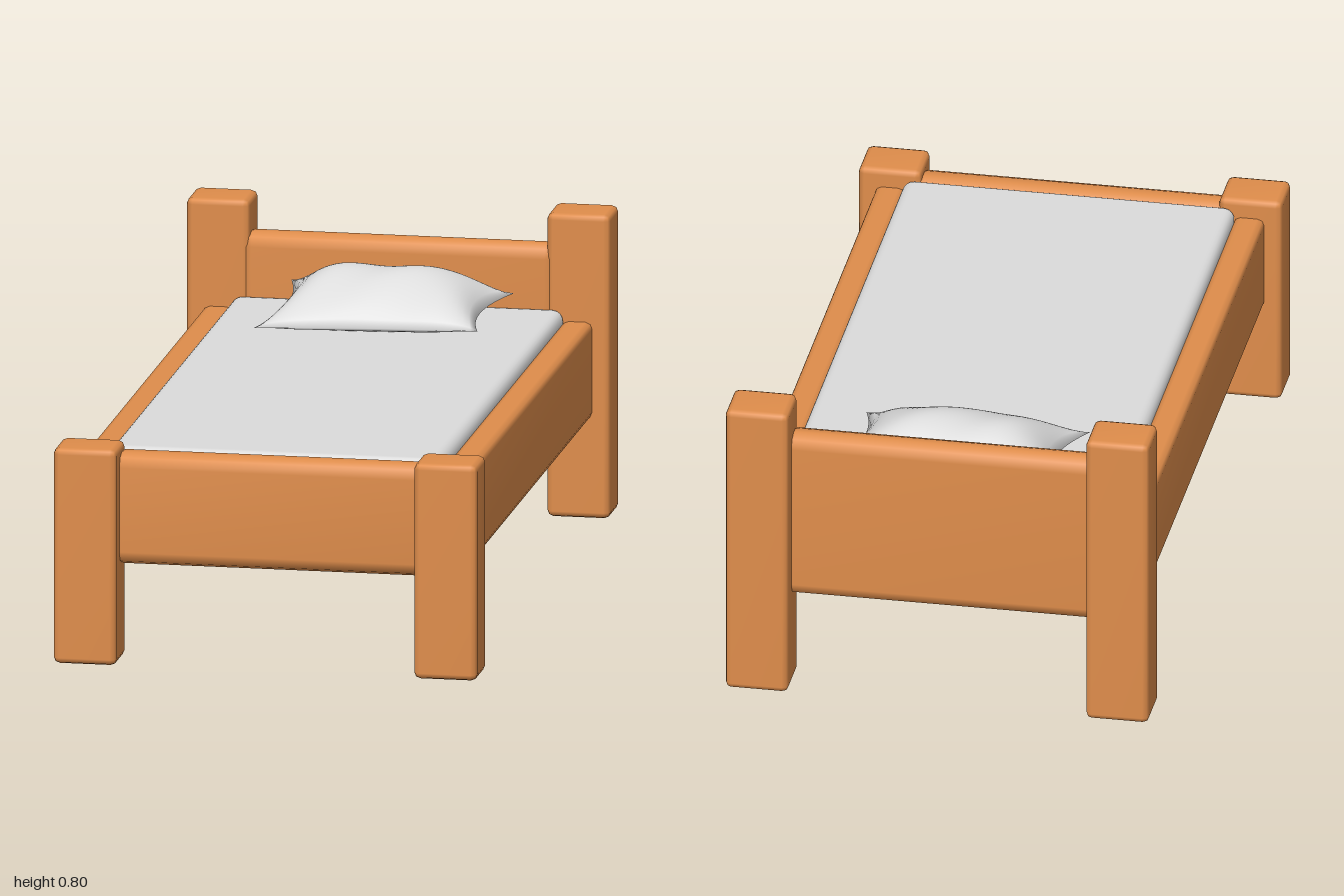
import * as THREE from 'three';
import { mergeVertices, mergeGeometries } from 'three/addons/utils/BufferGeometryUtils.js';
import { RoundedBoxGeometry } from 'three/addons/geometries/RoundedBoxGeometry.js';

const wood = new THREE.MeshStandardMaterial({ color: 0xdf8d4b });
wood.name = 'warm wood';
const linen = new THREE.MeshStandardMaterial({ color: 0xdcdcdc, side: THREE.DoubleSide });
linen.name = 'white linen';

// Weld the corners so shading runs softly over the bevels
function soften(geometry) {
  geometry.deleteAttribute('normal');
  geometry.deleteAttribute('uv');
  const welded = mergeVertices(geometry, 1e-4);
  welded.clearGroups();
  welded.computeVertexNormals();
  return welded;
}

// Bevelled timber given by its extents on each axis
function timber(name, [x0, x1], [y0, y1], [z0, z1], bevel) {
  const geometry = soften(new RoundedBoxGeometry(x1 - x0, y1 - y0, z1 - z0, 1, bevel));
  const mesh = new THREE.Mesh(geometry, wood);
  mesh.name = name;
  mesh.position.set((x0 + x1) / 2, (y0 + y1) / 2, (z0 + z1) / 2);
  return mesh;
}

// Sheet with rolled-over edges, open underneath
function makeMattress() {
  const box = new RoundedBoxGeometry(0.87, 0.07, 1.75, 3, 0.03);
  const p = box.attributes.position;
  const kept = [];
  for (let i = 0; i < p.count; i += 3) {
    if ((p.getY(i) + p.getY(i + 1) + p.getY(i + 2)) / 3 < -0.0051) continue;
    for (let k = i; k < i + 3; k++) kept.push(p.getX(k), p.getY(k), p.getZ(k));
  }
  const shell = new THREE.BufferGeometry();
  shell.setAttribute('position', new THREE.Float32BufferAttribute(kept, 3));
  const mesh = new THREE.Mesh(soften(shell), linen);
  mesh.name = 'mattress';
  mesh.position.set(0, 0.515, -0.005);
  return mesh;
}

// One half of the pillow: a pinched grid puffed up (top) or slightly down
function pillowHalf(top) {
  const geometry = new THREE.PlaneGeometry(2, 2, 32, 28);
  const p = geometry.attributes.position;
  for (let i = 0; i < p.count; i++) {
    const u = top ? p.getX(i) : -p.getX(i);
    const v = -p.getY(i);
    const puff = Math.pow(Math.max(0, 1 - u ** 4), 0.85) * Math.pow(Math.max(0, 1 - v * v), 0.75);
    const seam = 0.582 - 0.017 * v + 0.006 * u * v;
    const x = u * 0.292 * (1 - 0.13 * (1 - v * v)) + 0.002 - 0.015 * v;
    const z = -0.662 + v * (0.178 - 0.012 * (1 - u * u)) - 0.008 * u * Math.max(0, v);
    const wrinkle = 0.004 * Math.sin(7 * u + 3 * v) * puff;
    const y = top
      ? seam + 0.1 * puff * (1 - 0.14 * v) + wrinkle
      : Math.max(0.552, seam - 0.04 * puff);
    p.setXYZ(i, x, y, z);
  }
  return geometry;
}

function makePillow() {
  const mesh = new THREE.Mesh(soften(mergeGeometries([pillowHalf(true), pillowHalf(false)])), linen);
  mesh.name = 'pillow';
  return mesh;
}

export function createModel() {
  const bed = new THREE.Group();
  bed.name = 'bed';

  // Posts and side rails, mirrored left and right
  for (const [side, s] of [['left', 1], ['right', -1]]) {
    const span = (a, b) => (s > 0 ? [a, b] : [-b, -a]);
    bed.add(
      timber(side + 'FrontPost', span(0.39, 0.555), [0, 0.57], [0.86, 1], 0.016),
      timber(side + 'BackPost', span(0.39, 0.555), [0, 0.803], [-1, -0.86], 0.016),
      timber(side + 'Rail', span(0.43, 0.51), [0.265, 0.52], [-0.88, 0.88], 0.018),
    );
  }

  // End boards
  bed.add(
    timber('footboard', [-0.42, 0.42], [0.255, 0.55], [0.85, 0.95], 0.036),
    timber('headboard', [-0.42, 0.42], [0.255, 0.717], [-0.95, -0.858], 0.036),
  );

  bed.add(makeMattress(), makePillow());
  return bed;
}
